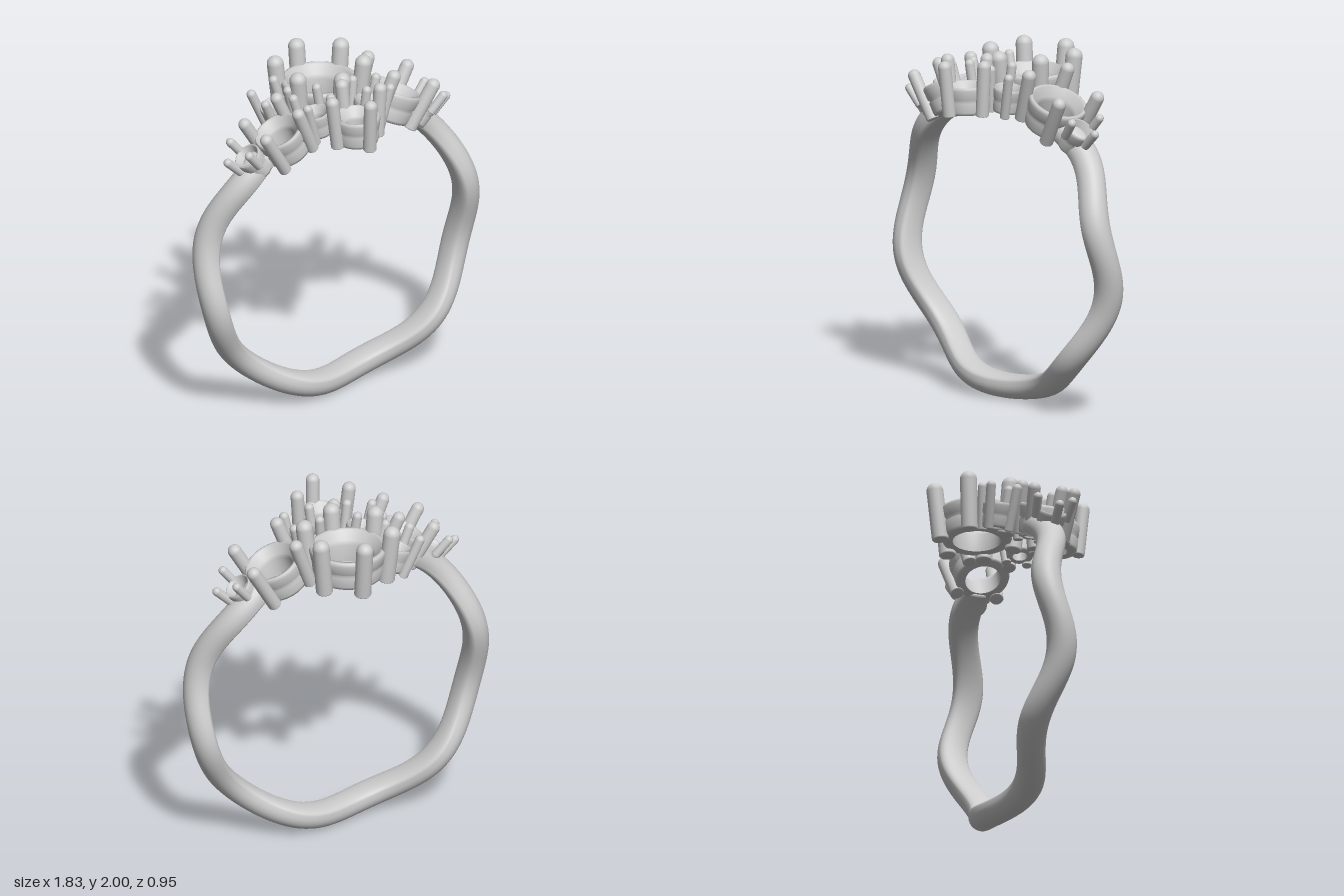
import * as THREE from 'three';

const CENTRE_Y = 0.91; // centre of the finger hole
const material = new THREE.MeshStandardMaterial({ color: 0xcccccc });
const rad = THREE.MathUtils.degToRad;

// Wavy open band: a domed section with a flat inside, swept round the finger hole
function makeBand() {
  const steps = 200, sides = 32, end = rad(147);
  const pos = [], index = [];
  for (let i = 0; i <= steps; i++) {
    const a = -end + (2 * end * i) / steps; // measured from the bottom
    const wave = -0.045 * Math.sin(6 * a);
    for (let j = 0; j < sides; j++) {
      const t = (2 * Math.PI * j) / sides, s = Math.sin(t);
      const r = 0.83 + (s >= 0 ? 0.083 * s : -0.055 * Math.sqrt(-s));
      pos.push(Math.sin(a) * r, CENTRE_Y - Math.cos(a) * r, wave + 0.084 * Math.cos(t));
      if (i < steps) {
        const p = i * sides + j, q = i * sides + ((j + 1) % sides);
        index.push(p, q, p + sides, q, q + sides, p + sides);
      }
    }
  }
  // end caps
  for (let j = 1; j < sides - 1; j++) {
    const last = steps * sides;
    index.push(0, j + 1, j, last, last + j, last + j + 1);
  }
  const geo = new THREE.BufferGeometry();
  geo.setAttribute('position', new THREE.Float32BufferAttribute(pos, 3));
  geo.setIndex(index);
  geo.computeVertexNormals();
  const mesh = new THREE.Mesh(geo, material);
  mesh.name = 'band';
  return mesh;
}

// Two-tier collet with a groove round it, a sloped seat and a through hole
function makeCollet(R, hole, y0, y1) {
  const h = y1 - y0, mid = y0 + h * 0.5;
  const profile = [
    [hole, y0], [R * 0.86, y0], [R * 0.9, y0 + h * 0.1], [R * 0.93, mid - h * 0.06],
    [R * 0.87, mid], [R * 0.95, mid + h * 0.06], [R, y1 - h * 0.12], [R * 0.97, y1 - h * 0.02],
    [R * 0.92, y1], [R * 0.84, y1 - h * 0.02], [hole * 1.15, y1 - h * 0.3],
    [hole, y1 - h * 0.42], [hole, y0],
  ].map(([x, y]) => new THREE.Vector2(x, y));
  const mesh = new THREE.Mesh(new THREE.LatheGeometry(profile, 40), material);
  mesh.name = 'collet';
  return mesh;
}

// Round wire with a flat foot and a domed tip
function makeProng(r, length) {
  const profile = [[0, 0], [r * 0.9, 0], [r, r * 0.15]].map(([x, y]) => new THREE.Vector2(x, y));
  for (let i = 0; i <= 8; i++) {
    const t = (Math.PI / 2) * (i / 8);
    profile.push(new THREE.Vector2(i === 8 ? 0 : r * Math.cos(t), length - r + r * Math.sin(t)));
  }
  const mesh = new THREE.Mesh(new THREE.LatheGeometry(profile, 18), material);
  mesh.name = 'prong';
  return mesh;
}

// A setting stands radially on the ring, tilted sideways and offset in z
function makeSetting(s) {
  const group = new THREE.Group();
  group.name = s.name;
  group.position.set(0, CENTRE_Y, s.z);
  group.rotation.z = -rad(s.tilt);
  group.add(makeCollet(s.R, s.hole, s.base, s.top));
  for (const angle of s.prongs) {
    const arm = new THREE.Group();
    arm.name = 'prongArm';
    arm.rotation.y = rad(angle);
    const prong = makeProng(s.wire, s.tip - s.foot);
    prong.position.set(s.inner, s.foot, 0);
    prong.rotation.z = -Math.atan2(s.outer - s.inner, s.tip - s.foot);
    arm.add(prong);
    group.add(arm);
  }
  return group;
}

export function createModel() {
  const model = new THREE.Group();
  model.name = 'ring';
  model.add(makeBand());

  const cross = [0, 90, 180, 270], diagonal = [45, 135, 225, 315];
  const small = {
    R: 0.085, hole: 0.042, base: 0.785, top: 0.925, wire: 0.027,
    inner: 0.085, outer: 0.112, foot: 0.77, tip: 1.04, prongs: diagonal,
  };
  const tiny = {
    R: 0.082, hole: 0.042, base: 0.8, top: 0.95, wire: 0.025,
    inner: 0.088, outer: 0.105, foot: 0.9, tip: 1.045,
  };
  const settings = [
    { name: 'mainSetting', tilt: 0, z: -0.18, R: 0.22, hole: 0.135, base: 0.77, top: 0.95, wire: 0.048,
      inner: 0.215, outer: 0.253, foot: 0.745, tip: 1.09, prongs: [30, 90, 150, 210, 270, 330] },
    { name: 'frontSetting', tilt: -2, z: 0.28, R: 0.132, hole: 0.065, base: 0.765, top: 0.925, wire: 0.038,
      inner: 0.13, outer: 0.16, foot: 0.76, tip: 1.08, prongs: cross },
    { name: 'leftSetting', tilt: 25, z: -0.03, R: 0.17, hole: 0.1, base: 0.77, top: 0.945, wire: 0.039,
      inner: 0.165, outer: 0.205, foot: 0.76, tip: 1.08, prongs: diagonal },
    { name: 'rightSetting', tilt: -27, z: 0.08, R: 0.145, hole: 0.08, base: 0.775, top: 0.945, wire: 0.036,
      inner: 0.14, outer: 0.17, foot: 0.765, tip: 1.07, prongs: diagonal },
    { ...small, name: 'smallSettingRight', tilt: -12, z: 0.09 },
    { ...small, name: 'smallSettingBack', tilt: -19.5, z: -0.16 },
    { ...small, name: 'smallSettingLeft', tilt: 9, z: 0.12 },
    { ...tiny, name: 'endSettingLeft', tilt: 39.5, z: -0.015, prongs: [0, 90, 270] },
    { ...tiny, name: 'endSettingRight', tilt: -40.5, z: 0.055, prongs: [90, 180, 270] },
  ];
  for (const s of settings) model.add(makeSetting(s));
  return model;
}
